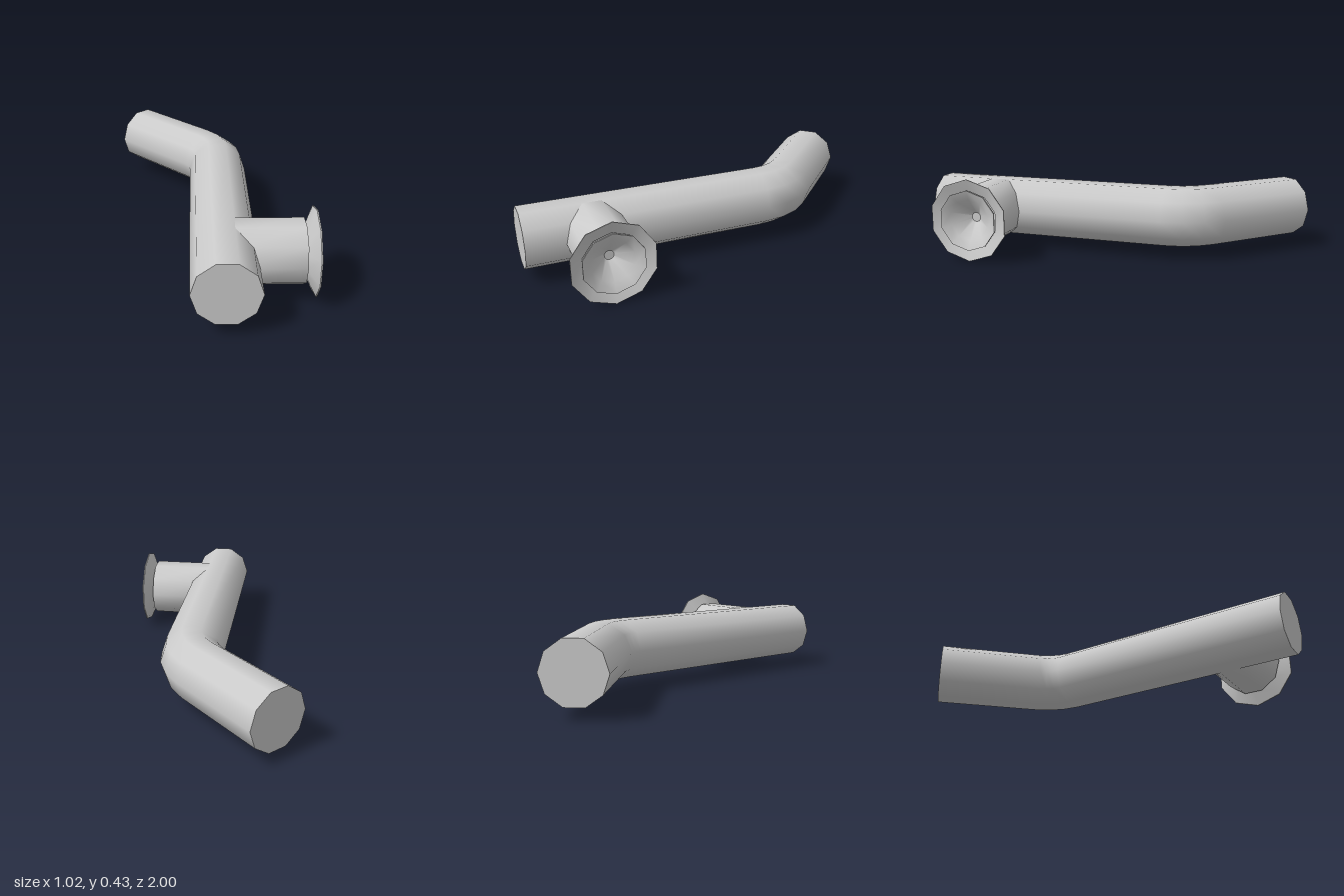
import * as THREE from 'three';
import { toCreasedNormals } from 'three/addons/utils/BufferGeometryUtils.js';

const SIDES = 10, RADIUS = 0.16, AXIS_X = 0.073, AXIS_Y = 0.218, BRANCH_Z = 0.64;

const grey = new THREE.MeshStandardMaterial({ color: 0xcccccc });
const greyDouble = new THREE.MeshStandardMaterial({ color: 0xcccccc, side: THREE.DoubleSide });

// Capped pipe whose rings follow a straight run, a 45 degree bend and a second run
function bentPipe() {
  const bendR = 0.287, bendZ = -0.3;
  const rings = [{ p: new THREE.Vector3(AXIS_X, AXIS_Y, 1), a: 0 }];
  for (let i = 0; i <= 3; i++) {
    const a = (i / 3) * Math.PI / 4;
    rings.push({
      p: new THREE.Vector3(AXIS_X - bendR + bendR * Math.cos(a), AXIS_Y, bendZ - bendR * Math.sin(a)), a
    });
  }
  rings.push({ p: new THREE.Vector3(-0.398, AXIS_Y, -0.89), a: Math.PI / 4 });

  const steps = rings.length - 1;
  const geo = new THREE.CylinderGeometry(RADIUS, RADIUS, 1, SIDES, steps, false, Math.PI / 2);
  geo.rotateX(Math.PI / 2);
  const pos = geo.attributes.position, nor = geo.attributes.normal;
  const up = new THREE.Vector3(0, 1, 0), v = new THREE.Vector3();
  for (let i = 0; i < pos.count; i++) {
    const ring = rings[Math.round((0.5 - pos.getZ(i)) * steps)];
    v.set(pos.getX(i), pos.getY(i), 0).applyAxisAngle(up, ring.a).add(ring.p);
    pos.setXYZ(i, v.x, v.y, v.z);
    v.fromBufferAttribute(nor, i).applyAxisAngle(up, ring.a);
    nor.setXYZ(i, v.x, v.y, v.z);
  }
  return geo;
}

// Surface turned about the branch axis from [x, radius] points
function turned(name, profile, twist = 0) {
  const points = profile.map(([x, r]) => new THREE.Vector2(r, x));
  let geo = new THREE.LatheGeometry(points, SIDES);
  geo.rotateY(twist);
  geo.rotateZ(-Math.PI / 2);
  geo = toCreasedNormals(geo, 0.7);
  const mesh = new THREE.Mesh(geo, greyDouble);
  mesh.name = name;
  mesh.position.set(0, AXIS_Y, BRANCH_Z);
  return mesh;
}

export function createModel() {
  const group = new THREE.Group();
  group.name = 'bentPipeWithBranch';

  const pipe = new THREE.Mesh(bentPipe(), grey);
  pipe.name = 'mainPipe';
  group.add(pipe);

  // Side branch, closed around the neck of the flange
  group.add(turned('branchPipe', [[0.122, RADIUS], [0.45, RADIUS], [0.45, 0.108]]));

  // Flared flange and the funnel nested inside it
  const twist = Math.PI / SIDES;
  group.add(turned('flange', [[0.45, 0.11], [0.497, 0.215], [0.503, 0.215], [0.478, 0.15]], twist));
  group.add(turned('funnel', [[0.5, 0.158], [0.508, 0.158], [0.485, 0.108], [0.41, 0.025], [0.41, 0]], twist));

  return group;
}
